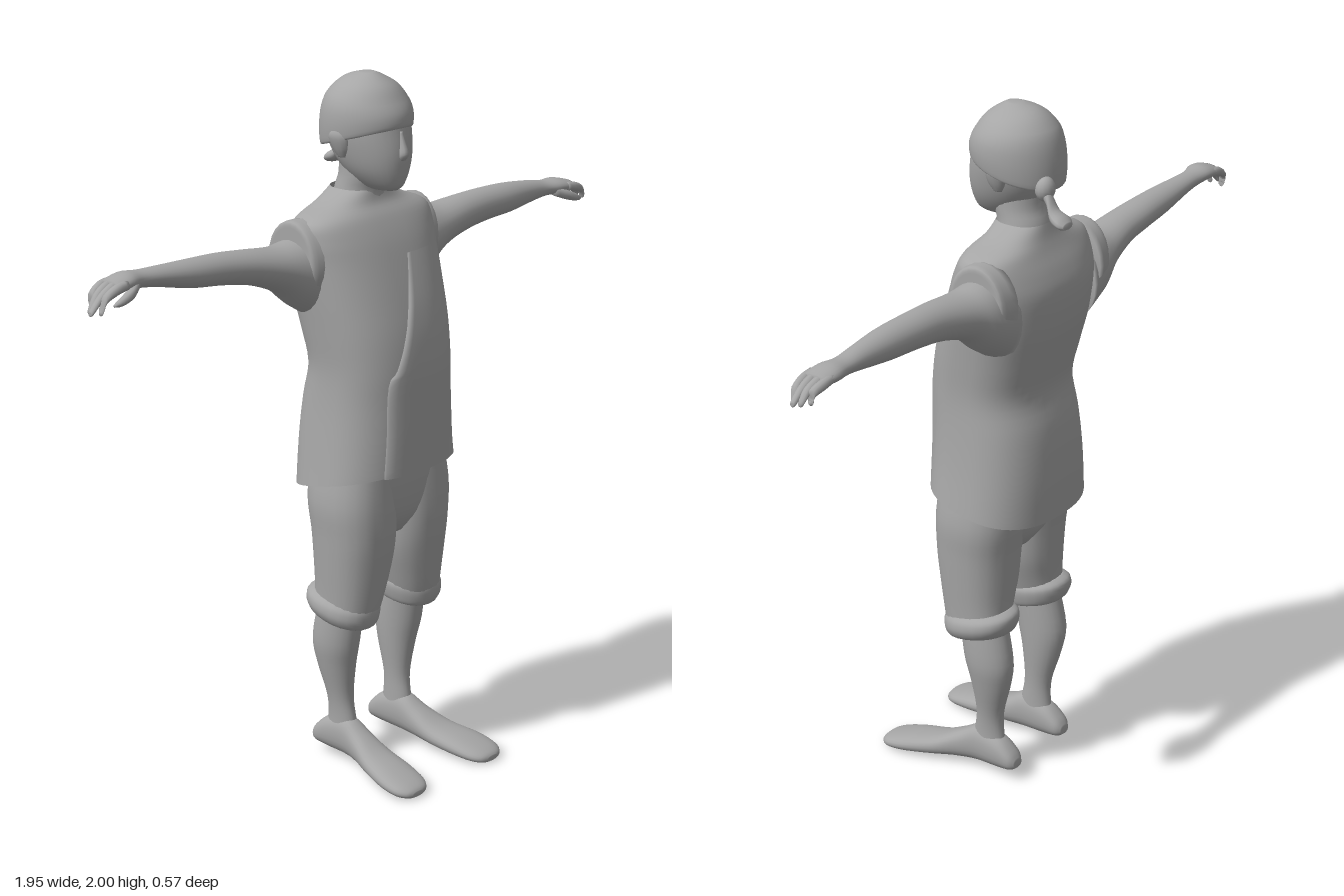
import * as THREE from 'three';

const grey = new THREE.MeshStandardMaterial({ color: 0xa6a6a6, side: THREE.DoubleSide });
grey.name = 'plain grey';

// Catmull-Rom refinement of section rows [t, minA, maxA, minB, maxB]
function refine(rows, steps) {
  const out = [];
  const at = (i) => rows[Math.max(0, Math.min(rows.length - 1, i))];
  for (let i = 0; i < rows.length - 1; i++) {
    for (let s = 0; s < steps; s++) {
      const u = s / steps;
      out.push(rows[i].map((b, k) => {
        const a = at(i - 1)[k], c = at(i + 1)[k], d = at(i + 2)[k];
        return b + 0.5 * u * (c - a + u * (2 * a - 5 * b + 4 * c - d + u * (3 * (b - c) + d - a)));
      }));
    }
  }
  out.push(rows[rows.length - 1]);
  return out;
}

// Skin of rounded sections along an axis: x uses (y,z), y uses (z,x), z uses (x,y)
function loft(axis, rows, { p = 2, n = 24, steps = 4, caps = true, warp = null } = {}) {
  const secs = refine(rows, steps), pos = [], idx = [];
  const put = (t, a, b) => {
    const v = axis === 'x' ? [t, a, b] : axis === 'y' ? [b, t, a] : [a, b, t];
    if (warp) warp(v);
    pos.push(...v);
  };
  const pw = (v) => Math.sign(v) * Math.abs(v) ** (2 / p);
  secs.forEach(([t, a0, a1, b0, b1]) => {
    for (let j = 0; j < n; j++) {
      const w = (j / n) * Math.PI * 2;
      put(t, (a0 + a1) / 2 + pw(Math.cos(w)) * (a1 - a0) / 2, (b0 + b1) / 2 + pw(Math.sin(w)) * (b1 - b0) / 2);
    }
  });
  for (let i = 0; i < secs.length - 1; i++) {
    for (let j = 0; j < n; j++) {
      const a = i * n + j, b = i * n + (j + 1) % n;
      idx.push(a, b, b + n, a, b + n, a + n);
    }
  }
  if (caps) {
    [0, secs.length - 1].forEach((i) => {
      const [t, a0, a1, b0, b1] = secs[i], c = pos.length / 3;
      put(t, (a0 + a1) / 2, (b0 + b1) / 2);
      for (let j = 0; j < n; j++) {
        const a = i * n + j, b = i * n + (j + 1) % n;
        idx.push(...(i ? [c, a, b] : [c, b, a]));
      }
    });
  }
  return finish(pos, idx);
}

function finish(pos, idx) {
  const g = new THREE.BufferGeometry();
  g.setAttribute('position', new THREE.Float32BufferAttribute(pos, 3));
  g.setIndex(idx);
  g.computeVertexNormals();
  return g;
}

function mirror(g) {
  const pos = Array.from(g.attributes.position.array, (v, i) => (i % 3 ? v : -v));
  return finish(pos, Array.from(g.index.array).reverse());
}

const clamp01 = (v) => Math.max(0, Math.min(1, v));

// Tunic sections: [y, back z, front z, right x, left x]
const TUNIC_POWER = 2.5;
const tunicRows = [
  [0.87, -0.225, 0.14, -0.228, 0.238], [0.98, -0.225, 0.142, -0.215, 0.222],
  [1.1, -0.212, 0.143, -0.203, 0.21], [1.2, -0.19, 0.142, -0.2, 0.205],
  [1.3, -0.21, 0.128, -0.21, 0.212], [1.4, -0.232, 0.1, -0.222, 0.222],
  [1.5, -0.237, 0.065, -0.232, 0.232], [1.56, -0.22, 0.04, -0.236, 0.236],
  [1.61, -0.195, 0.012, -0.222, 0.222], [1.645, -0.18, -0.015, -0.14, 0.14],
  [1.68, -0.17, -0.025, -0.078, 0.078]];

// Front height of the tunic at a given x and y
function tunicFront(x, y) {
  const secs = refine(tunicRows, 6);
  let i = 0;
  while (i < secs.length - 2 && secs[i + 1][0] < y) i++;
  const u = (y - secs[i][0]) / (secs[i + 1][0] - secs[i][0]);
  const [, a0, a1, b0, b1] = secs[i].map((v, k) => v + (secs[i + 1][k] - v) * u);
  const q = Math.min(1, Math.abs(x - (b0 + b1) / 2) / ((b1 - b0) / 2));
  return (a0 + a1) / 2 + (a1 - a0) / 2 * (1 - q ** TUNIC_POWER) ** (1 / TUNIC_POWER);
}

// Overlapping front flap with a diagonal edge and a folded-back border
function flapGeometry() {
  const edge = refine([[0.905, -0.13], [1.02, -0.122], [1.17, -0.116], [1.21, -0.09], [1.3, -0.05], [1.4, -0.012], [1.51, 0.025]], 4);
  const pos = [], idx = [], cols = 14;
  edge.forEach(([y, x0], r) => {
    const lift = 0.009 * clamp01((1.53 - y) / 0.15);
    for (let c = 0; c <= cols; c++) {
      const u = Math.max(0, c - 1) / (cols - 1), x = x0 + (0.19 - x0) * u;
      pos.push(x, y, tunicFront(x, y) + (c ? lift * (1 - u * 0.8) : -0.004));
      if (r && c) {
        const d = r * (cols + 1) + c, b = d - cols - 1;
        idx.push(b - 1, b, d, b - 1, d, d - 1);
      }
    }
  });
  return finish(pos, idx);
}

// Finger or thumb from points [x, y, z, radius]
function digit(points) {
  const rows = points.map(([x, y, z, r]) => [x, y - r, y + r, z - r, z + r]);
  return loft('x', rows, { n: 10, steps: 3 });
}

// Arm sections: [x, low y, high y, back z, front z], then a hand
function armGroup(name, rows, knuckleY, tipY, flip) {
  const g = new THREE.Group();
  g.name = name;
  const add = (part, geo) => {
    const m = new THREE.Mesh(flip ? mirror(geo) : geo, grey);
    m.name = part;
    g.add(m);
  };
  add('arm', loft('x', rows));
  [-0.138, -0.118, -0.097, -0.077].forEach((z, i) => {
    const len = [0.945, 0.965, 0.975, 0.955][i], zt = -0.105 + (z + 0.105) * 0.75, y = knuckleY;
    add('finger', digit([[0.87, y, z, 0.013], [0.905, y - 0.006, z, 0.014],
      [0.94, (y * 0.55 + tipY * 0.45), (z + zt) / 2, 0.012], [len - 0.004, tipY, zt, 0.009], [len, tipY - 0.002, zt, 0.003]]));
  });
  add('thumb', digit([[0.825, knuckleY - 0.008, -0.09, 0.015], [0.86, knuckleY - 0.022, -0.07, 0.015],
    [0.9, knuckleY - 0.036, -0.064, 0.011], [0.922, knuckleY - 0.042, -0.066, 0.004]]));
  // Armhole border of the sleeveless tunic
  add('armhole', loft('x', [[0.19, 1.385, 1.618, -0.212, -0.01], [0.235, 1.385, 1.618, -0.207, -0.02],
    [0.25, 1.4, 1.615, -0.2, -0.03], [0.252, 1.42, 1.6, -0.19, -0.04]], { steps: 2 }));
  return g;
}

export function createModel() {
  const model = new THREE.Group();
  model.name = 'figure';
  const add = (name, geo) => {
    const m = new THREE.Mesh(geo, grey);
    m.name = name;
    model.add(m);
    return m;
  };
  const pair = (name, geo) => {
    add('left ' + name, geo);
    add('right ' + name, mirror(geo));
  };

  // Tunic, its hem hanging lower at the back
  add('tunic', loft('y', tunicRows, {
    p: TUNIC_POWER, n: 48, caps: false,
    warp: (v) => { v[1] += (v[2] + 0.04) * 0.22 * clamp01((1.05 - v[1]) / 0.18); },
  }));
  add('tunic flap', flapGeometry());

  // Neck, head and ears
  add('neck', loft('y', [[1.58, -0.175, -0.015, -0.09, 0.09], [1.67, -0.165, -0.02, -0.075, 0.075],
    [1.72, -0.15, -0.005, -0.07, 0.07], [1.78, -0.15, 0, -0.07, 0.07]]));
  add('head', loft('y', [[1.685, -0.06, 0.042, -0.03, 0.03], [1.7, -0.1, 0.058, -0.052, 0.052],
    [1.74, -0.14, 0.068, -0.08, 0.08], [1.79, -0.175, 0.07, -0.098, 0.1], [1.85, -0.19, 0.06, -0.108, 0.112],
    [1.91, -0.18, 0.045, -0.1, 0.105], [1.96, -0.14, 0.01, -0.07, 0.07]], { n: 32 }));
  add('nose', loft('y', [[1.772, 0.03, 0.072, -0.018, 0.018], [1.79, 0.03, 0.084, -0.018, 0.018],
    [1.82, 0.03, 0.074, -0.012, 0.012], [1.85, 0.03, 0.062, -0.008, 0.008]], { n: 12 }));
  pair('ear', loft('y', [[1.775, -0.085, -0.06, 0.085, 0.1], [1.8, -0.1, -0.045, 0.085, 0.113],
    [1.835, -0.11, -0.04, 0.085, 0.123], [1.86, -0.09, -0.055, 0.085, 0.115]], { n: 12 }));

  // Headscarf, lower at the back, with a knot and a hanging tail
  add('headscarf', loft('y', [[1.835, -0.195, 0.05, -0.108, 0.115], [1.84, -0.207, 0.062, -0.116, 0.122],
    [1.88, -0.207, 0.06, -0.12, 0.127], [1.92, -0.195, 0.045, -0.113, 0.12], [1.96, -0.165, 0.018, -0.086, 0.09],
    [1.985, -0.13, -0.015, -0.05, 0.05], [1.998, -0.085, -0.04, -0.018, 0.018]], {
    n: 32, warp: (v) => { v[1] += (v[2] + 0.02) * 0.3 * clamp01((1.93 - v[1]) / 0.1); },
  }));
  add('scarf knot', new THREE.SphereGeometry(0.03, 14, 10).scale(1, 1.15, 0.9).translate(0.05, 1.795, -0.195));
  add('scarf tail', loft('z', [[-0.287, 0.055, 0.095, 1.708, 1.725], [-0.27, 0.038, 0.104, 1.705, 1.738],
    [-0.24, 0.042, 0.094, 1.715, 1.755], [-0.215, 0.042, 0.075, 1.75, 1.79], [-0.19, 0.035, 0.07, 1.775, 1.81]], { n: 14 }));

  // Arms, the right one held slightly higher
  model.add(armGroup('left arm', [[0.17, 1.33, 1.58, -0.21, -0.02], [0.25, 1.38, 1.575, -0.205, -0.03],
    [0.32, 1.435, 1.567, -0.185, -0.04], [0.42, 1.465, 1.573, -0.168, -0.052], [0.52, 1.478, 1.575, -0.163, -0.06],
    [0.63, 1.484, 1.572, -0.157, -0.065], [0.74, 1.497, 1.56, -0.148, -0.078], [0.8, 1.503, 1.55, -0.145, -0.08],
    [0.85, 1.502, 1.55, -0.152, -0.068], [0.9, 1.507, 1.538, -0.15, -0.066]], 1.525, 1.483, false));
  model.add(armGroup('right arm', [[0.17, 1.33, 1.575, -0.21, -0.02], [0.25, 1.38, 1.565, -0.205, -0.03],
    [0.32, 1.435, 1.56, -0.185, -0.04], [0.42, 1.475, 1.572, -0.168, -0.052], [0.52, 1.495, 1.582, -0.163, -0.06],
    [0.63, 1.51, 1.587, -0.155, -0.065], [0.74, 1.535, 1.59, -0.147, -0.077], [0.8, 1.545, 1.592, -0.145, -0.08],
    [0.85, 1.55, 1.597, -0.152, -0.068], [0.9, 1.55, 1.585, -0.15, -0.066]], 1.572, 1.516, true));

  // Knee-length trousers with rolled cuffs, higher at the back
  const cuffTilt = (v) => { v[1] -= (v[2] + 0.04) * 0.2 * clamp01((0.62 - v[1]) / 0.1); };
  add('trouser seat', loft('y', [[0.7, -0.1, 0.05, -0.06, 0.06], [0.76, -0.14, 0.085, -0.17, 0.17],
    [0.86, -0.155, 0.1, -0.212, 0.215], [1, -0.15, 0.1, -0.195, 0.2]], { p: 2.4, n: 32 }));
  pair('trouser leg', loft('y', [[0.48, -0.125, 0.06, 0.05, 0.205], [0.55, -0.125, 0.075, 0.028, 0.208],
    [0.63, -0.13, 0.09, 0.006, 0.213], [0.72, -0.137, 0.1, -0.002, 0.218], [0.82, -0.15, 0.1, -0.005, 0.222],
    [0.95, -0.15, 0.09, 0, 0.2]], { p: 2.3, warp: cuffTilt }));
  pair('trouser cuff', loft('y', [[0.462, -0.12, 0.04, 0.07, 0.185], [0.46, -0.138, 0.056, 0.046, 0.206],
    [0.485, -0.15, 0.066, 0.036, 0.221], [0.512, -0.148, 0.068, 0.034, 0.219], [0.53, -0.125, 0.062, 0.045, 0.204]],
  { p: 2.2, warp: cuffTilt }));

  // Bare lower legs and feet
  pair('lower leg', loft('y', [[0.07, -0.12, 0, 0.083, 0.15], [0.13, -0.108, -0.012, 0.085, 0.147],
    [0.2, -0.108, -0.022, 0.085, 0.153], [0.3, -0.135, -0.01, 0.077, 0.175], [0.38, -0.145, 0.008, 0.073, 0.188],
    [0.5, -0.12, 0.025, 0.07, 0.185]]));
  pair('foot', loft('z', [[-0.162, 0.1, 0.135, 0.04, 0.065], [-0.145, 0.085, 0.15, 0.03, 0.09],
    [-0.1, 0.08, 0.155, 0.025, 0.125], [-0.03, 0.08, 0.155, 0.022, 0.138], [0.03, 0.078, 0.167, 0.018, 0.108],
    [0.1, 0.076, 0.192, 0.012, 0.075], [0.18, 0.082, 0.215, 0.004, 0.058], [0.24, 0.095, 0.217, 0, 0.042],
    [0.27, 0.115, 0.2, 0.001, 0.03], [0.28, 0.14, 0.178, 0.006, 0.02]], { p: 2.3 }));
  return model;
}
